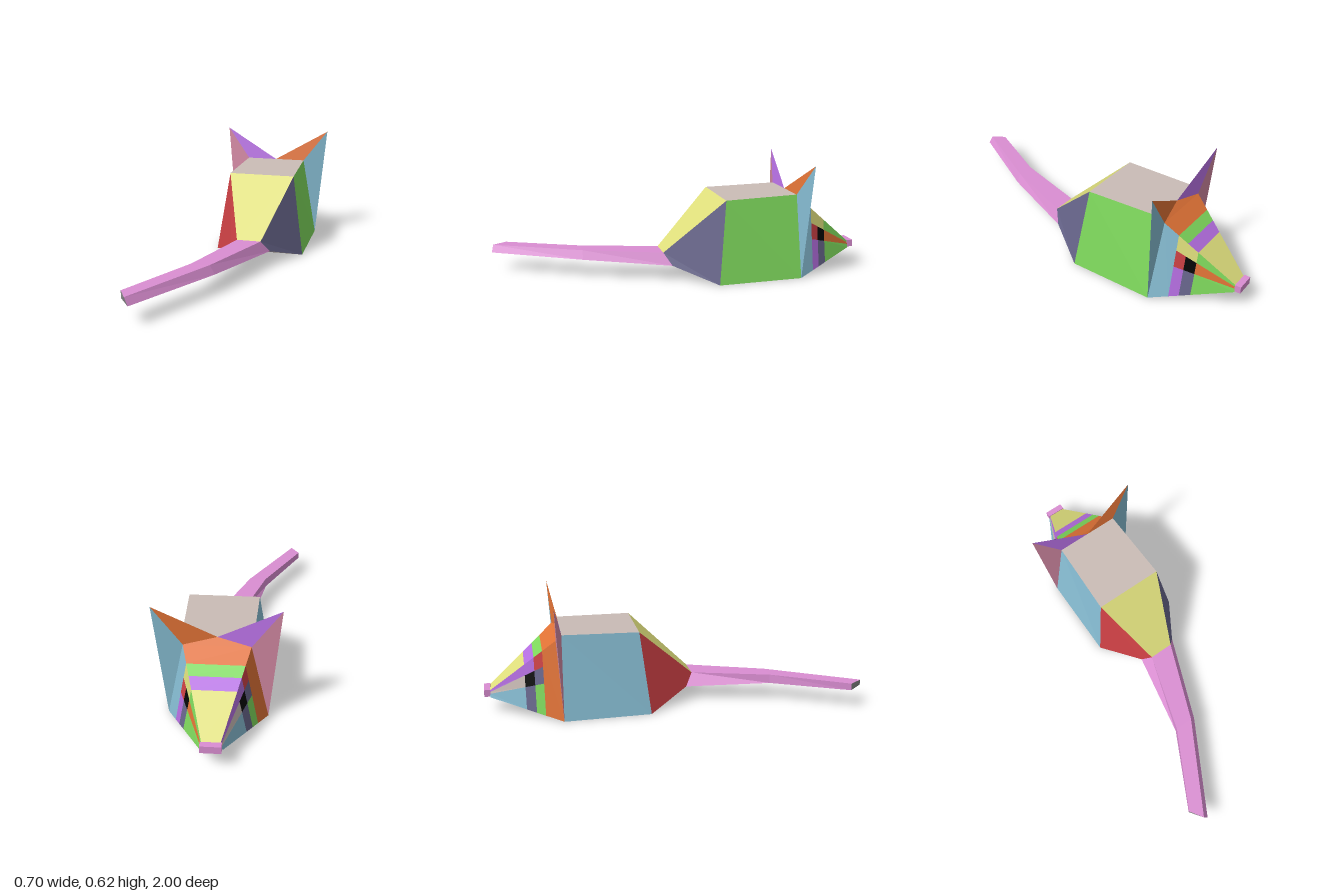
import * as THREE from 'three';

const CX = 0.045; // the body's own mirror plane
const C = {
  green: 0x7ed85c, teal: 0x86bcd2, purple: 0xb46ee0, orange: 0xe07236, yellow: 0xdede7c,
  red: 0xcc4044, slate: 0x68668c, black: 0x050505, pink: 0xda8ed2, taupe: 0xcabcb6,
  rose: 0xd48aa4, grey: 0x8c8c8c,
};
const V = (x, y, z) => new THREE.Vector3(x, y, z);
const mirror = (p) => V(2 * CX - p.x, p.y, p.z);

// Flat polygon turned to face away from the point "inside"; two-sided when none is given
function panel(group, name, pts, color, inside) {
  const n = pts[1].clone().sub(pts[0]).cross(pts[2].clone().sub(pts[0]));
  if (inside && n.dot(pts[0].clone().sub(inside)) < 0) pts = [...pts].reverse();
  const geo = new THREE.BufferGeometry().setFromPoints(pts);
  const index = [];
  for (let i = 1; i < pts.length - 1; i++) index.push(0, i, i + 1);
  geo.setIndex(index);
  geo.computeVertexNormals();
  const mat = new THREE.MeshStandardMaterial({
    color: C[color], flatShading: true, side: inside ? THREE.FrontSide : THREE.DoubleSide,
  });
  const mesh = new THREE.Mesh(geo, mat);
  mesh.name = name;
  group.add(mesh);
}

// Skin between two four-cornered rings; colours: top, +x side, bottom, -x side
function skin(group, name, a, b, colors) {
  const inside = V(0, 0, 0);
  [...a, ...b].forEach((p) => inside.addScaledVector(p, 1 / 8));
  colors.forEach((c, i) => {
    const j = (i + 1) % 4;
    panel(group, name, [a[i], a[j], b[j], b[i]], c, inside);
  });
}

// Mirrored ring from its +x corners: -x top, +x top, +x bottom, -x bottom
const ring = (top, bottom) => [mirror(top), top, bottom, mirror(bottom)];

function makePart(root, name) {
  const g = new THREE.Group();
  g.name = name;
  root.add(g);
  return g;
}

export function createModel() {
  const root = new THREE.Group();
  root.name = 'rodent';

  // Body: straight trunk and tapered rump
  const neck = ring(V(0.215, 0.445, -0.59), V(0.293, 0, -0.6));
  const hip = ring(V(0.227, 0.438, -0.19), V(0.293, 0, -0.14));
  const rump = ring(V(0.11, 0.147, 0.12), V(0.152, 0.083, 0.08));
  const body = makePart(root, 'body');
  skin(body, 'trunk', neck, hip, ['taupe', 'green', 'green', 'teal']);
  skin(body, 'rump', hip, rump, ['yellow', 'slate', 'taupe', 'red']);
  panel(body, 'rumpEnd', rump, 'red', V(CX, 0.15, -0.2));

  // Tail: bent, tapering bar leaving the rump
  const tail = makePart(root, 'tail');
  const bend = [V(-0.145, 0.147, 0.53), V(-0.05, 0.147, 0.53), V(-0.025, 0.1, 0.53), V(-0.15, 0.1, 0.53)];
  const tip = [V(-0.35, 0.141, 0.92), V(-0.305, 0.141, 0.99), V(-0.285, 0.103, 1), V(-0.35, 0.103, 0.92)];
  const allPink = ['pink', 'pink', 'pink', 'pink'];
  skin(tail, 'tailBase', rump, bend, allPink);
  skin(tail, 'tailEnd', bend, tip, allPink);
  panel(tail, 'tailTip', tip, 'grey', V(-0.15, 0.12, 0.6));

  // Head: wedge in bands along z, sides split into three strips with the eye in the middle
  const head = makePart(root, 'head');
  const browTop = V(0.207, 0.415, -0.62), browBottom = V(0.293, 0, -0.6);
  const noseTop = V(0.088, 0.125, -0.97), noseBottom = V(0.098, 0.09, -0.97);
  const atZ = (a, b, z) => a.clone().lerp(b, (z - a.z) / (b.z - a.z));
  const rings = [[browTop, browBottom],
    ...[-0.69, -0.735, -0.785, -0.97].map((z) => [atZ(browTop, noseTop, z), atZ(browBottom, noseBottom, z)])];
  const core = V(CX, 0.15, -0.7);
  const tops = ['orange', 'green', 'purple', 'yellow'];
  const bottoms = ['taupe', 'taupe', 'yellow', 'grey'];
  const strips = [0, 0.24, 0.5, 1];
  const leftColors = [['yellow', 'red', 'purple'], ['yellow', 'black', 'slate'], ['green', 'orange', 'green']];
  const rightColors = [['red', 'slate', 'green'], ['purple', 'black', 'slate'], ['purple', 'taupe', 'teal']];
  for (let i = 0; i < 4; i++) {
    const [t0, b0] = rings[i], [t1, b1] = rings[i + 1];
    panel(head, 'headTop', [mirror(t0), t0, t1, mirror(t1)], tops[i], core);
    panel(head, 'jaw', [mirror(b0), b0, b1, mirror(b1)], bottoms[i], core);
    if (i === 0) {
      const cheek = [t0, b0, b1, t1];
      panel(head, 'leftCheek', cheek, 'teal', core);
      panel(head, 'rightCheek', cheek.map(mirror), 'orange', core);
      continue;
    }
    for (let s = 0; s < 3; s++) {
      const face = [t0.clone().lerp(b0, strips[s]), t0.clone().lerp(b0, strips[s + 1]),
        t1.clone().lerp(b1, strips[s + 1]), t1.clone().lerp(b1, strips[s])];
      const part = i === 2 && s === 1 ? 'Eye' : 'Face';
      panel(head, 'left' + part, face, leftColors[i - 1][s], core);
      panel(head, 'right' + part, face.map(mirror), rightColors[i - 1][s], core);
    }
  }
  const crown = V(CX, 0.445, -0.59);
  panel(head, 'crown', [crown, browTop, mirror(browTop)], 'orange', core);

  // Nose: small block on the snout
  const nose = new THREE.Mesh(new THREE.BoxGeometry(0.1, 0.038, 0.032),
    new THREE.MeshStandardMaterial({ color: C.pink, flatShading: true }));
  nose.name = 'nose';
  nose.position.set(CX, 0.112, -0.984);
  root.add(nose);

  // Ears: pointed sheets, front and back meeting at the tip, the jaw and the crown
  const earTip = V(0.35, 0.62, -0.63);
  for (const [name, m, outer, inner] of [
    ['leftEar', (p) => p, 'teal', 'orange'], ['rightEar', mirror, 'rose', 'purple']]) {
    const ear = makePart(root, name);
    for (const corner of [neck[1], browTop]) {
      panel(ear, 'earOuter', [earTip, corner, browBottom].map(m), outer);
      panel(ear, 'earInner', [earTip, crown, corner].map(m), inner);
    }
  }
  return root;
}
